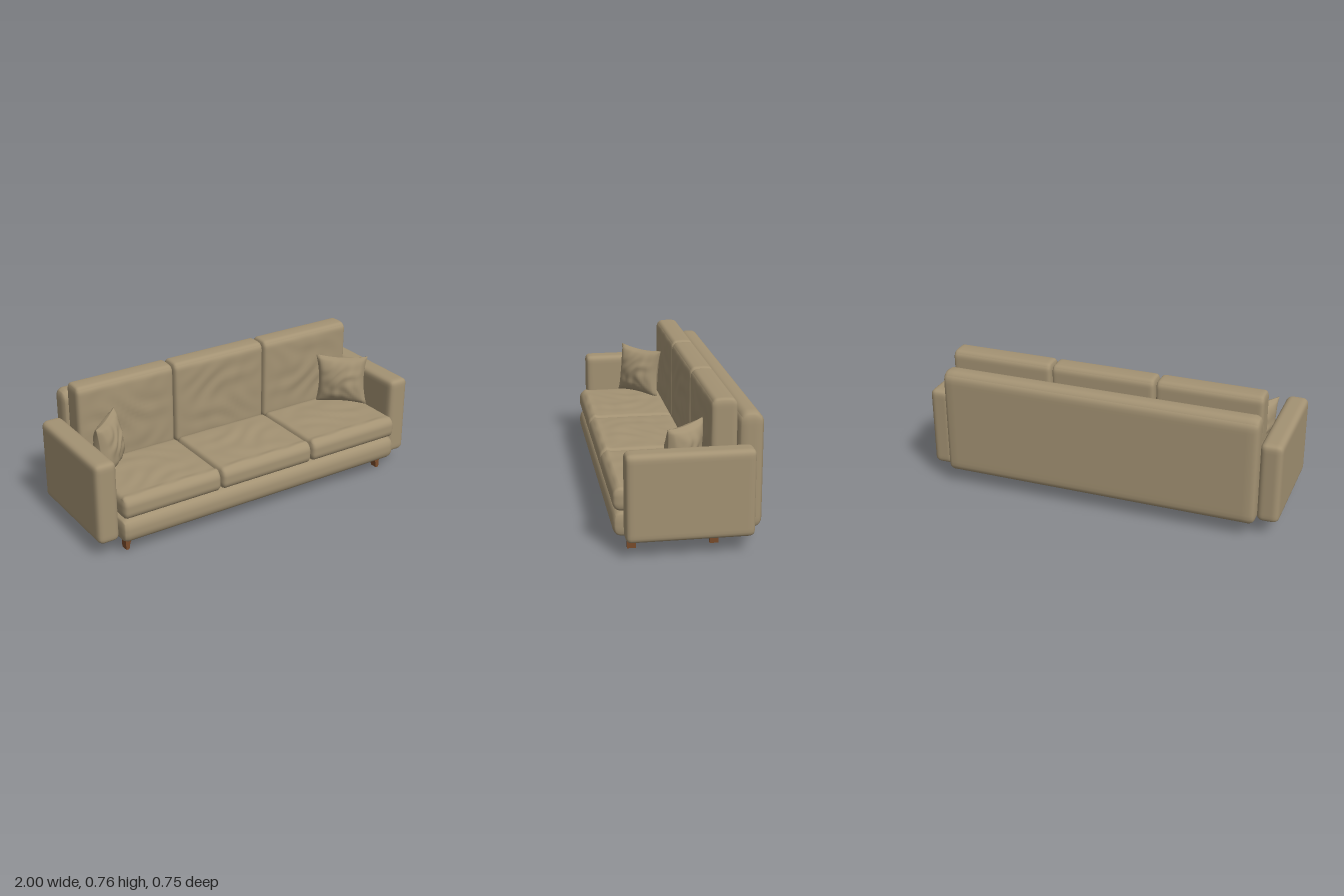
import * as THREE from 'three';
import { mergeVertices } from 'three/addons/utils/BufferGeometryUtils.js';

const fabric = new THREE.MeshStandardMaterial({ color: 0xa39273 });
fabric.name = 'tan fabric';
const wood = new THREE.MeshStandardMaterial({ color: 0x7a4c2b });
wood.name = 'brown wood';

// Box with shared vertices, so the normals run smoothly over the edges
function smoothBox(nx, ny, nz) {
  const g = new THREE.BoxGeometry(2, 2, 2, nx, ny, nz);
  g.deleteAttribute('uv');
  g.deleteAttribute('normal');
  return mergeVertices(g);
}

// Moves each vertex, given in -1..1, by a rule
function reshape(g, rule) {
  const pos = g.attributes.position;
  const p = new THREE.Vector3();
  for (let i = 0; i < pos.count; i++) {
    rule(p.fromBufferAttribute(pos, i));
    pos.setXYZ(i, p.x, p.y, p.z);
  }
  g.computeVertexNormals();
  return g;
}

// Soft creases in a cloth surface
const crease = (a, b, s) =>
  Math.sin(7 * a + 3 * Math.sin(3 * b + s) + s) * Math.sin(5 * b + 2 * Math.sin(4 * a - s) + 2 * s);

// Upholstered block from min to max corner, with its own rounding radius per axis
function upholstery(name, min, max, radius, detail = 24, finish = null) {
  const lo = new THREE.Vector3(...min), hi = new THREE.Vector3(...max);
  const half = hi.clone().sub(lo).multiplyScalar(0.5);
  const r = new THREE.Vector3(...radius);
  const core = new THREE.Vector3(), dir = new THREE.Vector3(), unit = new THREE.Vector3();
  const spread = (t) => Math.sin(t * Math.PI / 2);
  const g = reshape(smoothBox(detail, detail, detail), (p) => {
    p.set(spread(p.x), spread(p.y), spread(p.z));
    unit.copy(p);
    p.multiply(half);
    core.copy(half).sub(r);
    core.set(
      THREE.MathUtils.clamp(p.x, -core.x, core.x),
      THREE.MathUtils.clamp(p.y, -core.y, core.y),
      THREE.MathUtils.clamp(p.z, -core.z, core.z));
    dir.copy(p).sub(core).divide(r).normalize().multiply(r);
    p.copy(core).add(dir);
    if (finish) finish(p, unit);
  });
  const mesh = new THREE.Mesh(g, fabric);
  mesh.name = name;
  mesh.position.copy(lo).add(hi).multiplyScalar(0.5);
  return mesh;
}

// Square throw pillow with pinched corners
function throwPillow(name, side) {
  const g = reshape(smoothBox(22, 22, 1), (p) => {
    const { x: u, y: v, z: s } = p;
    const fill = Math.max(0, (1 - u * u) * (1 - v * v));
    p.x = 0.15 * u * (1 - 0.13 * (1 - v * v));
    p.y = 0.145 * v * (1 - 0.1 * (1 - u * u));
    p.z = s * (0.002 + 0.068 * fill ** 0.5 + 0.008 * fill * crease(u, v, 1.3 + s));
  });
  const pillow = new THREE.Mesh(g, fabric);
  pillow.name = name;
  pillow.position.set(side * 0.765, 0.472, 0.01);
  pillow.rotation.set(-0.1, -side * Math.PI / 4, side * 0.03, 'YXZ');
  return pillow;
}

// Bracket-shaped leg: straight outer side, curved inner side
function leg(name, side, z) {
  const s = new THREE.Shape();
  s.moveTo(0.842, 0.088);
  s.lineTo(0.838, 0);
  s.lineTo(0.82, 0);
  s.lineTo(0.814, 0.035);
  s.quadraticCurveTo(0.808, 0.055, 0.785, 0.068);
  s.lineTo(0.785, 0.088);
  const g = new THREE.ExtrudeGeometry(s, { depth: 0.045, bevelEnabled: false, curveSegments: 4 });
  const mesh = new THREE.Mesh(g, wood);
  mesh.name = name;
  mesh.position.z = z;
  if (side < 0) {
    mesh.rotation.y = Math.PI;
    mesh.position.z = z + 0.045;
  }
  return mesh;
}

export function createModel() {
  const sofa = new THREE.Group();
  sofa.name = 'sofa';

  // Frame: base and back
  sofa.add(upholstery('base', [-0.88, 0.076, -0.25], [0.88, 0.212, 0.375], [0.02, 0.06, 0.045]));
  sofa.add(upholstery('backrest', [-0.885, 0.08, -0.375], [0.885, 0.69, -0.245], [0.03, 0.05, 0.05], 24,
    (p, u) => { if (u.y > 0) p.y -= 0.008 * u.z * u.z * u.y; }));

  // Three seat cushions and three back cushions
  for (let i = -1; i <= 1; i++) {
    const x = 0.003 + i * 0.586, seed = 2.1 * i + 0.7;
    sofa.add(upholstery('seatCushion', [x - 0.29, 0.212, -0.12], [x + 0.29, 0.332, 0.373],
      [0.022, 0.045, 0.04], 32, (p, u) => {
        if (u.y <= 0) return;
        const mask = u.y ** 4 * (1 - u.x * u.x) * (1 - u.z * u.z);
        p.y += mask * (0.006 + 0.006 * crease(u.x, u.z, seed));
        // Puckered seam along the front edge
        const seam = Math.exp(-(((p.z - 0.21) / 0.012) ** 2));
        p.y += 0.009 * seam * u.y ** 4 * (0.6 + 0.4 * Math.sin(9 * u.x + seed));
      }));
    sofa.add(upholstery('backCushion', [x - 0.289, 0.29, -0.242], [x + 0.289, 0.757, -0.11],
      [0.02, 0.035, 0.03], 32, (p, u) => {
        if (u.y > 0) p.y += 0.007 * (1 - u.z * u.z) * u.y ** 4;
        if (u.z > 0) {
          const mask = u.z ** 4 * (1 - u.x * u.x) * (1 - u.y * u.y);
          p.z += mask * (0.003 + 0.007 * crease(u.x, u.y, seed + 1));
        }
      }));
  }

  // Mirrored arms, pillows and legs
  for (const side of [-1, 1]) {
    const label = side > 0 ? 'left' : 'right';
    const a = side * 0.88, b = side * 1.0;
    sofa.add(upholstery(label + 'Arm', [Math.min(a, b), 0.086, -0.315], [Math.max(a, b), 0.538, 0.325],
      [0.035, 0.03, 0.03]));
    sofa.add(throwPillow(label + 'Pillow', side));
    sofa.add(leg(label + 'FrontLeg', side, 0.255));
    sofa.add(leg(label + 'BackLeg', side, -0.162));
  }
  return sofa;
}
